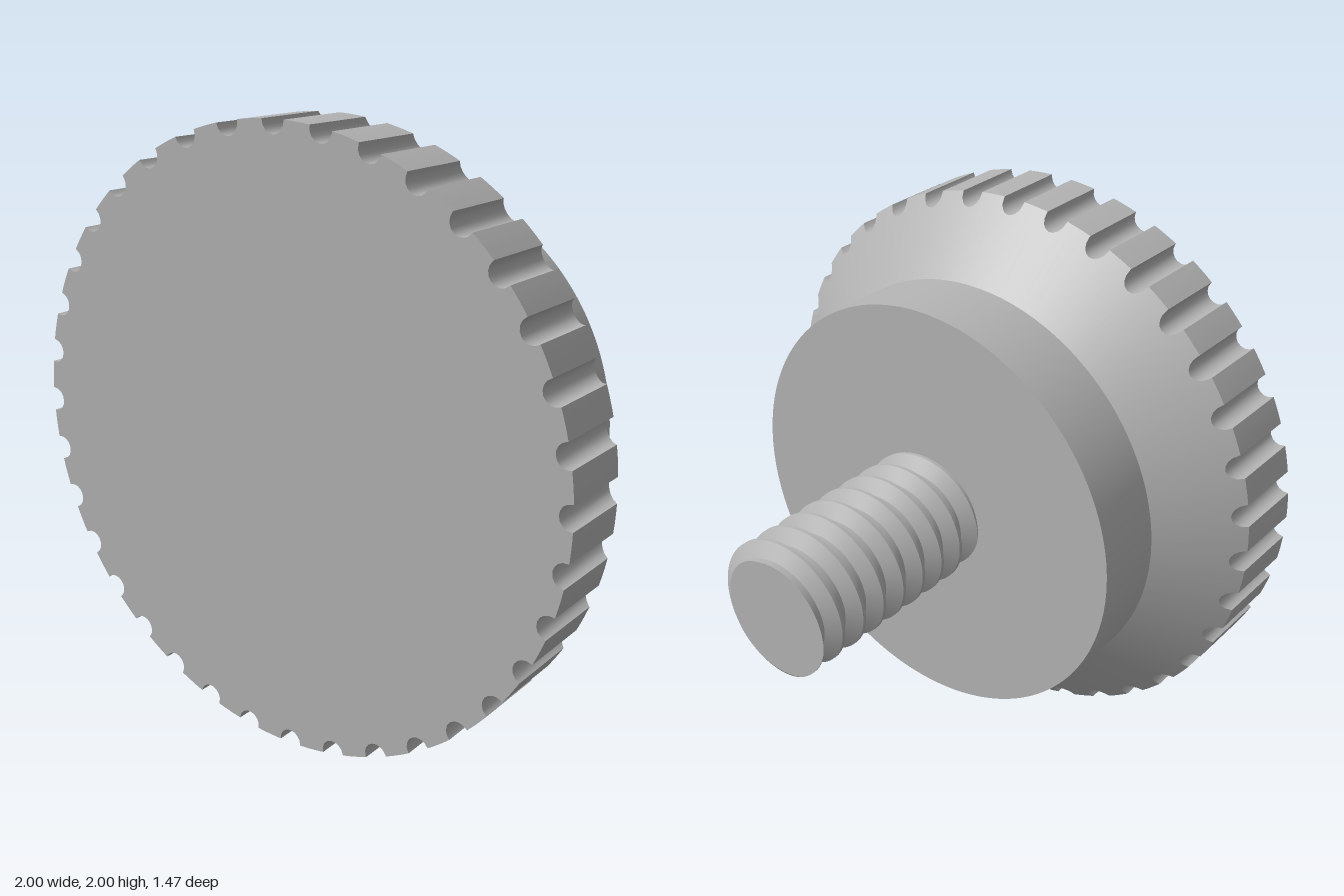
import * as THREE from 'three';
import { toCreasedNormals } from 'three/addons/utils/BufferGeometryUtils.js';

// Skin a list of rings (counter-clockwise seen from +z, running front to back)
function loft(rings) {
  const pos = [];
  const ab = new THREE.Vector3(), ac = new THREE.Vector3();
  const tri = (a, b, c) => {
    ab.subVectors(b, a);
    ac.subVectors(c, a);
    if (ab.cross(ac).length() > 1e-9) for (const p of [a, b, c]) pos.push(p.x, p.y, p.z);
  };
  for (let r = 0; r + 1 < rings.length; r++) {
    const a = rings[r], b = rings[r + 1], n = a.length;
    for (let i = 0; i < n; i++) {
      const j = (i + 1) % n;
      tri(a[i], b[i], b[j]);
      tri(a[i], b[j], a[j]);
    }
  }
  const geo = new THREE.BufferGeometry();
  geo.setAttribute('position', new THREE.Float32BufferAttribute(pos, 3));
  return toCreasedNormals(geo, 0.5);
}

const polar = (r, t, z) => new THREE.Vector3(r * Math.cos(t), r * Math.sin(t), z);

// Grip outline: 36 half-round grooves around a unit circle
function gripOutline() {
  const count = 36, grooveR = 0.04, centreR = 0.995, steps = 8, arcSteps = 3;
  const pitch = (Math.PI * 2) / count, half = 0.0402;
  const pts = [];
  for (let k = 0; k < count; k++) {
    const t = k * pitch;
    for (let s = 0; s <= steps; s++) {
      const a = -Math.PI / 2 + (Math.PI * s) / steps;
      const radial = centreR - grooveR * Math.cos(a), side = grooveR * Math.sin(a);
      pts.push({ r: Math.hypot(radial, side), t: t + Math.atan2(side, radial) });
    }
    for (let s = 0; s <= arcSteps; s++) {
      pts.push({ r: 1, t: t + half + ((pitch - 2 * half) * s) / arcSteps });
    }
  }
  return pts;
}

// Knurled disc, cone and collar; the grooves run out on the cone
function headGeometry() {
  const outline = gripOutline();
  const ring = (radius, z) => outline.map((p) => polar(radius(p), p.t, z(p)));
  const coneZ = (r) => 0.28 + ((r - 0.75) / 0.25) * 0.19;
  return loft([
    ring(() => 0, () => 0.735),
    ring((p) => p.r, () => 0.735),
    ring((p) => p.r, (p) => coneZ(p.r)),
    ring(() => 0.75, () => 0.28),
    ring(() => 0.75, () => 0.02),
    ring(() => 0, () => 0.02),
  ]);
}

// Right-hand screw thread, trimmed flat at its end
function threadGeometry() {
  const pitch = 0.096, minor = 0.182, major = 0.23, crest = 0.006, flank = 0.03;
  const front = 0.03, back = -0.735, segments = 72;
  const radiusAt = (t, z) => {
    const turn = z / pitch - (t - Math.PI / 2) / (Math.PI * 2);
    const d = Math.abs(turn - Math.round(turn)) * pitch;
    return major - (major - minor) * THREE.MathUtils.clamp((d - crest) / (flank), 0, 1);
  };
  const rings = [];
  const angles = Array.from({ length: segments }, (_, i) => (i / segments) * Math.PI * 2);
  const offsets = [crest + flank, crest, -crest, -crest - flank];
  // Each row follows the helix; the seam joins rows one pitch apart, so the rows
  // are made as strips of single turns and welded by position.
  const pos = [];
  const point = (t, z) => {
    const c = THREE.MathUtils.clamp(z, back, front);
    return polar(radiusAt(t, c), t, c);
  };
  const rows = [];
  for (let k = 2; k > -10; k--) for (const o of offsets) rows.push(k * pitch + o);
  const tri = (a, b, c) => {
    const n = b.clone().sub(a).cross(c.clone().sub(a));
    if (n.length() > 1e-9) for (const p of [a, b, c]) pos.push(p.x, p.y, p.z);
  };
  for (let i = 0; i < segments; i++) {
    const t0 = angles[i], t1 = t0 + (Math.PI * 2) / segments;
    const lift = (t) => ((t - Math.PI / 2) / (Math.PI * 2)) * pitch;
    for (let r = 0; r + 1 < rows.length; r++) {
      const a = point(t0, rows[r] + lift(t0)), a1 = point(t1, rows[r] + lift(t1));
      const b = point(t0, rows[r + 1] + lift(t0)), b1 = point(t1, rows[r + 1] + lift(t1));
      tri(a, b, b1);
      tri(a, b1, a1);
    }
    // End face
    tri(point(t0, back), new THREE.Vector3(0, 0, back), point(t1, back));
  }
  const geo = new THREE.BufferGeometry();
  geo.setAttribute('position', new THREE.Float32BufferAttribute(pos, 3));
  return toCreasedNormals(geo, 0.5);
}

export function createModel() {
  const steel = new THREE.MeshStandardMaterial({ color: 0xb4b4b4 });
  steel.name = 'steel grey';

  const model = new THREE.Group();
  model.name = 'thumbScrew';
  const add = (name, geometry) => {
    const mesh = new THREE.Mesh(geometry, steel);
    mesh.name = name;
    mesh.position.y = 1;
    model.add(mesh);
  };
  add('knurledHead', headGeometry());
  add('threadedShank', threadGeometry());
  return model;
}
